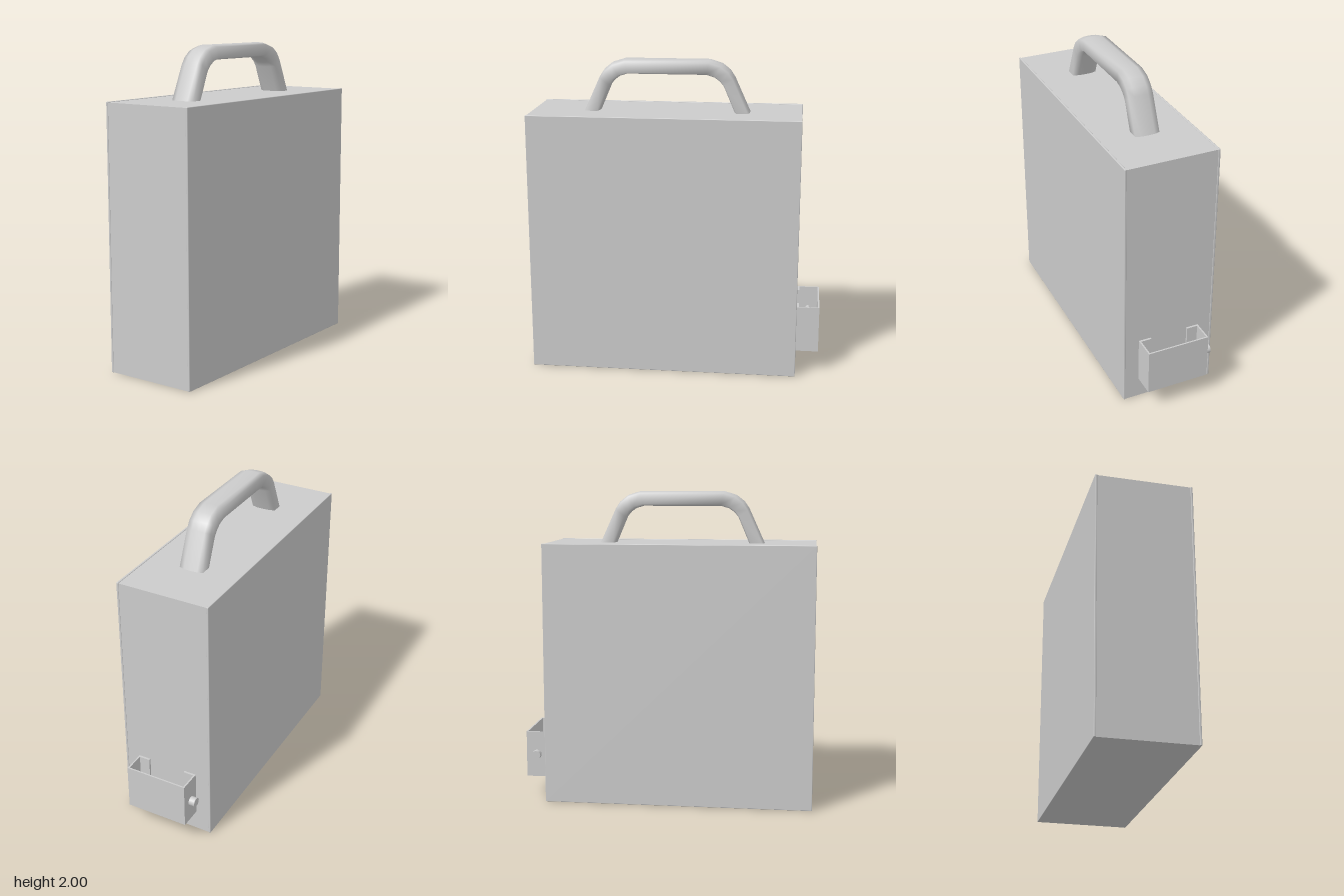
import * as THREE from 'three';
import { RoundedBoxGeometry } from 'three/addons/geometries/RoundedBoxGeometry.js';

const material = new THREE.MeshStandardMaterial({ color: 0xcccccc, side: THREE.DoubleSide });

function add(parent, name, geometry, x = 0, y = 0, z = 0) {
  const mesh = new THREE.Mesh(geometry, material);
  mesh.name = name;
  mesh.position.set(x, y, z);
  parent.add(mesh);
  return mesh;
}

// Sweeps a domed strap section between the outer and inner side profiles
function handleGeometry() {
  // each station: outer z, outer y, inner z, inner y
  const half = [
    [0.53, 1.67, 0.43, 1.67], [0.43, 1.89, 0.36, 1.835],
    [0.40, 1.935, 0.335, 1.865], [0.35, 1.975, 0.30, 1.89], [0.27, 2.0, 0.25, 1.905],
  ];
  const mirrored = half.map(([a, b, c, d]) => [-a, b, -c, d]).reverse();
  const stations = [...half, ...mirrored];
  // section: x across, t from inner (0) to outer (1)
  const section = [
    [-0.08, 0.14], [-0.08, 0.86], [-0.045, 0.97], [0, 1], [0.045, 0.97],
    [0.08, 0.86], [0.08, 0.14], [0.045, 0.03], [0, 0], [-0.045, 0.03],
  ];
  const n = section.length, positions = [], index = [];
  for (const [oz, oy, iz, iy] of stations) {
    for (const [x, t] of section) positions.push(x, iy + (oy - iy) * t, iz + (oz - iz) * t + 0.07);
  }
  for (let s = 0; s < stations.length - 1; s++) {
    for (let i = 0; i < n; i++) {
      const a = s * n + i, b = s * n + (i + 1) % n;
      index.push(a, b, a + n, b, b + n, a + n);
    }
  }
  const geometry = new THREE.BufferGeometry();
  geometry.setAttribute('position', new THREE.Float32BufferAttribute(positions, 3));
  geometry.setIndex(index);
  geometry.computeVertexNormals();
  return geometry;
}

export function createModel() {
  const model = new THREE.Group();
  model.name = 'carryingCase';

  // Case: core with slightly proud side panels
  const body = new THREE.Group();
  body.name = 'caseBody';
  model.add(body);
  add(body, 'caseCore', new THREE.BoxGeometry(0.6, 1.67, 1.714), 0, 0.836, 0.07);
  for (const side of [-1, 1]) {
    add(body, 'sidePanel', new RoundedBoxGeometry(0.014, 1.675, 1.72, 2, 0.004), side * 0.299, 0.8375, 0.07);
  }

  add(model, 'handle', handleGeometry());

  // Rear bracket: bent channel with inward mounting flanges
  const bracket = new THREE.Group();
  bracket.name = 'rearBracket';
  bracket.position.set(0, 0.29, 0);
  model.add(bracket);
  add(bracket, 'bracketPlate', new THREE.BoxGeometry(0.41, 0.3, 0.01), 0, 0, -0.93);
  for (const side of [-1, 1]) {
    add(bracket, 'bracketSide', new THREE.BoxGeometry(0.01, 0.3, 0.145), side * 0.2, 0, -0.8625);
    add(bracket, 'bracketFlange', new THREE.BoxGeometry(0.08, 0.3, 0.014), side * 0.165, 0, -0.797);
  }

  // Stepped pin lying across the bracket: name, start x, end x, radius
  const steps = [
    ['pinHead', -0.25, -0.21, 0.03],
    ['pinShaft', -0.21, -0.12, 0.018],
    ['pinBarrel', -0.12, 0.17, 0.027],
    ['pinCollar', 0.165, 0.2, 0.034],
  ];
  for (const [name, x0, x1, r] of steps) {
    const part = add(bracket, name, new THREE.CylinderGeometry(r, r, x1 - x0, 16), (x0 + x1) / 2, 0, -0.865);
    part.rotation.z = Math.PI / 2;
  }
  return model;
}
